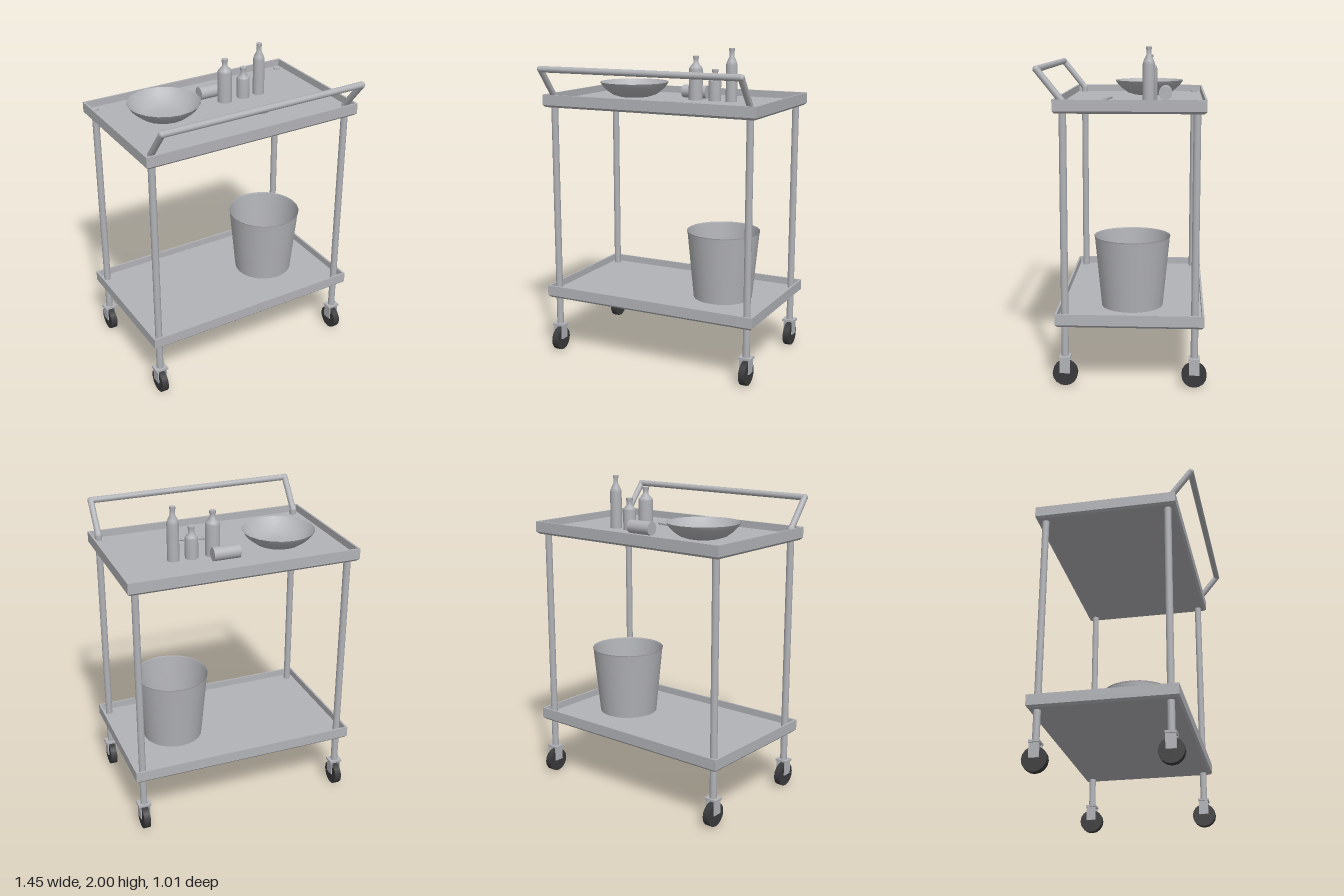
import * as THREE from 'three';

const steel = new THREE.MeshStandardMaterial({ color: 0xb2b3b7 });
steel.name = 'steel';
steel.side = THREE.DoubleSide;
const rubber = new THREE.MeshStandardMaterial({ color: 0x3a3a3c });
rubber.name = 'rubber';

const LEG_X = 0.67, FRONT_Z = 0.335, BACK_Z = -0.435, LEG_R = 0.022;
const TOP_Y = 1.63, LOW_Y = 0.37, FLOOR = 0.035;

function add(parent, name, geometry, material, x = 0, y = 0, z = 0) {
  const mesh = new THREE.Mesh(geometry, material);
  mesh.name = name;
  mesh.position.set(x, y, z);
  parent.add(mesh);
  return mesh;
}

// Round bar between two points
function bar(parent, name, a, b, radius, sides = 12) {
  const from = new THREE.Vector3(...a), to = new THREE.Vector3(...b);
  const dir = to.clone().sub(from);
  const mesh = add(parent, name, new THREE.CylinderGeometry(radius, radius, dir.length(), sides), steel);
  mesh.position.copy(from).add(to).multiplyScalar(0.5);
  mesh.quaternion.setFromUnitVectors(new THREE.Vector3(0, 1, 0), dir.normalize());
  return mesh;
}

// Smooth turned shape from [radius, height] points
function turned(points, sides) {
  return new THREE.LatheGeometry(points.map(p => new THREE.Vector2(...p)), sides);
}

// Rectangular tray: [inset, height] loops from the underside, over the rim, to the floor
function trayGeometry() {
  const hx = 0.725, hz = 0.44;
  const loops = [[hx, 0, hz], [0.014, 0], [0, 0.014], [0, 0.08], [0.012, 0.08], [0.012, FLOOR], [hx, FLOOR, hz]];
  const corner = ([inset, y, insetZ = inset], i) => {
    const sx = i % 4 === 0 || i % 4 === 3 ? 1 : -1, sz = i % 4 < 2 ? 1 : -1;
    return [sx * (hx - inset), y, sz * (hz - insetZ)];
  };
  const pos = [];
  for (let k = 0; k < loops.length - 1; k++) {
    for (let i = 0; i < 4; i++) {
      const a = corner(loops[k], i), b = corner(loops[k], i + 1);
      const c = corner(loops[k + 1], i + 1), d = corner(loops[k + 1], i);
      // Centre loops collapse to a point, so one triangle is enough there
      if (k > 0) pos.push(...a, ...c, ...b);
      if (k < loops.length - 2) pos.push(...a, ...d, ...c);
    }
  }
  const geometry = new THREE.BufferGeometry();
  geometry.setAttribute('position', new THREE.Float32BufferAttribute(pos, 3));
  geometry.computeVertexNormals();
  return geometry;
}

function caster(x, z) {
  const group = new THREE.Group();
  group.name = 'caster';
  group.position.set(x, 0, z);
  const wheel = add(group, 'wheel', new THREE.CylinderGeometry(0.075, 0.075, 0.042, 16), rubber, 0, 0.075, 0);
  wheel.rotation.z = Math.PI / 2;
  add(group, 'casterPlate', new THREE.BoxGeometry(0.082, 0.014, 0.066), steel, 0, 0.175, 0);
  for (const s of [-1, 1]) {
    add(group, 'casterFork', new THREE.BoxGeometry(0.007, 0.095, 0.062), steel, s * 0.0285, 0.127, 0);
  }
  return group;
}

// Bottle of a given height with body radius, neck radius and shoulder heights
function bottle(parent, x, r, neck, shoulder, neckBase, height) {
  const lip = neck + 0.003;
  const geometry = turned([
    [0, 0], [r, 0], [r, 0], [r, shoulder], [r * 0.85, shoulder + (neckBase - shoulder) * 0.4],
    [neck, neckBase], [neck, height - 0.018], [lip, height - 0.016],
    [lip, height], [lip, height], [0, height],
  ], 14);
  add(parent, 'bottle', geometry, steel, x, TOP_Y + FLOOR, -0.148);
}

export function createModel() {
  const cart = new THREE.Group();
  cart.name = 'servingCart';

  // Trays
  const tray = trayGeometry();
  add(cart, 'topTray', tray, steel, 0, TOP_Y, -0.05);
  add(cart, 'lowerTray', tray, steel, 0, LOW_Y, -0.05);

  // Legs, casters and push handle
  const bend = [1.695, FRONT_Z], grip = [1.878, 0.482];
  for (const s of [-1, 1]) {
    const x = s * LEG_X;
    bar(cart, 'frontLeg', [x, 0.18, FRONT_Z], [x, ...bend], LEG_R);
    bar(cart, 'backLeg', [x, 0.18, BACK_Z], [x, 1.675, BACK_Z], LEG_R);
    bar(cart, 'handleArm', [x, ...bend], [x, ...grip], 0.02);
    add(cart, 'handleBend', new THREE.SphereGeometry(LEG_R, 12, 8), steel, x, ...bend);
    add(cart, 'handleCorner', new THREE.SphereGeometry(0.021, 12, 8), steel, x, ...grip);
    cart.add(caster(x, FRONT_Z), caster(x, BACK_Z));
  }
  bar(cart, 'handleGrip', [-LEG_X, ...grip], [LEG_X, ...grip], 0.02);

  // Things on the top tray
  const topFloor = TOP_Y + FLOOR;
  add(cart, 'bowl', turned([
    [0, 0.004], [0.1, 0.004], [0.145, 0.018], [0.182, 0.045], [0.21, 0.072], [0.228, 0.1],
  ], 20), steel, -0.347, topFloor, -0.13);
  bottle(cart, 0.092, 0.046, 0.017, 0.195, 0.235, 0.28);
  bottle(cart, 0.227, 0.041, 0.018, 0.125, 0.155, 0.2);
  bottle(cart, 0.342, 0.037, 0.015, 0.23, 0.285, 0.335);
  bar(cart, 'can', [-0.04, topFloor + 0.042, -0.245], [0.13, topFloor + 0.042, -0.245], 0.042, 18);
  bar(cart, 'stirrer', [0, topFloor + 0.008, 0.1], [0.226, topFloor + 0.008, 0.14], 0.009, 6);

  // Bucket on the lower tray
  add(cart, 'bucket', turned([
    [0, 0.003], [0.19, 0.003], [0.19, 0.003], [0.232, 0.435], [0.236, 0.445],
  ], 24), steel, 0.342, LOW_Y + FLOOR, -0.05);

  return cart;
}
